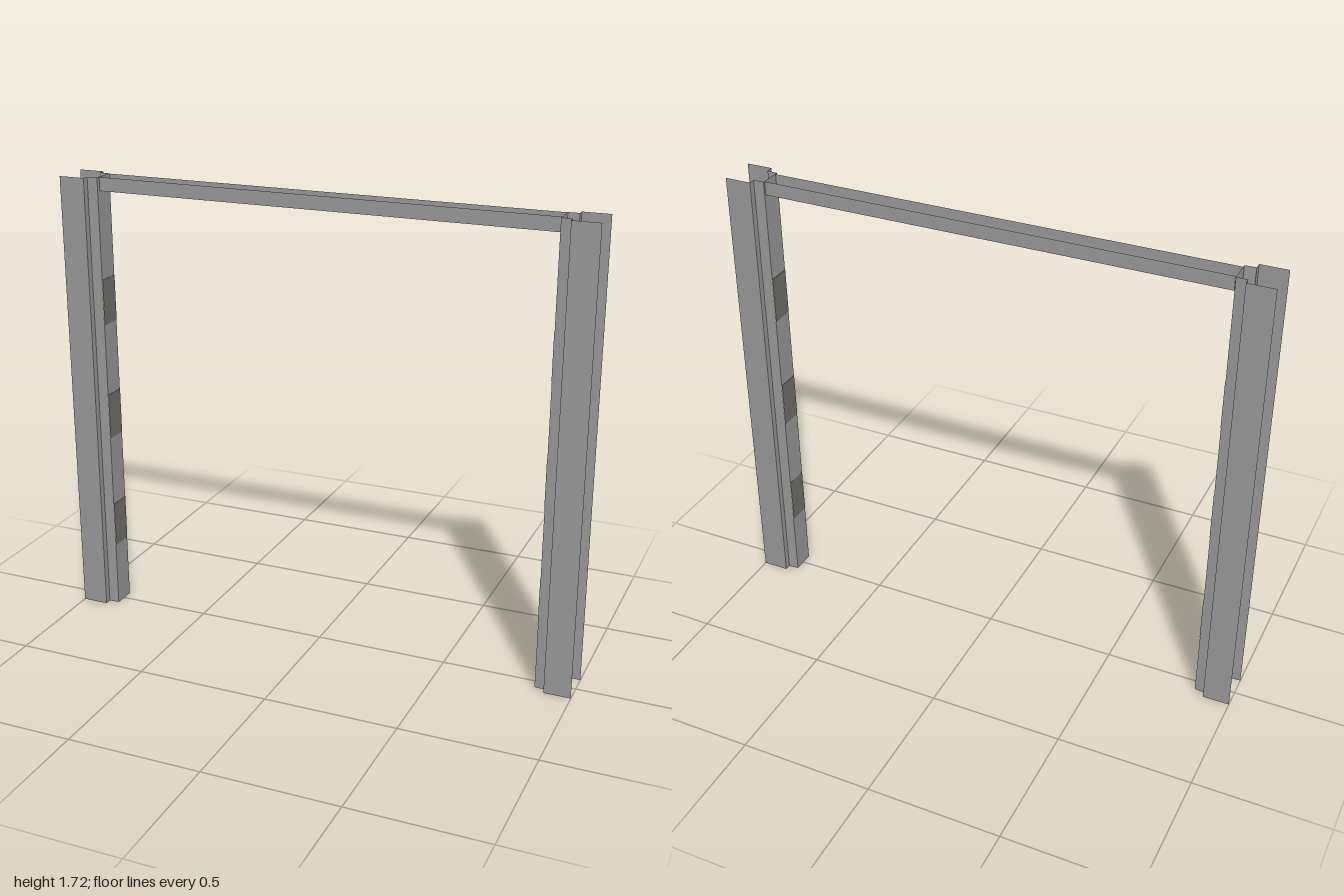
import * as THREE from 'three';

const steel = new THREE.MeshStandardMaterial({ color: 0x999999, side: THREE.DoubleSide });
steel.name = 'grey steel';
const dark = new THREE.MeshStandardMaterial({ color: 0x72706c });
dark.name = 'dark steel';
const black = new THREE.MeshStandardMaterial({ color: 0x494949, side: THREE.DoubleSide });
black.name = 'charcoal steel';

const HEIGHT = 1.716;

// Sweeps an open folded-sheet profile between two ends, one geometry group per fold
function foldedSheet(profile, start, end, place) {
  const pos = [];
  const index = [];
  for (const [a, b] of profile) pos.push(...place(a, b, start), ...place(a, b, end));
  for (let i = 0; i < profile.length - 1; i++) {
    const k = i * 2;
    index.push(k, k + 2, k + 1, k + 1, k + 2, k + 3);
  }
  const indexed = new THREE.BufferGeometry();
  indexed.setAttribute('position', new THREE.Float32BufferAttribute(pos, 3));
  indexed.setIndex(index);
  const geo = indexed.toNonIndexed();
  geo.computeVertexNormals();
  return geo;
}

// Jamb section as (x, z): wall flange, return, ledge, web, and the same again at the back
const jambProfile = [
  [1.0, 0.072], [0.9, 0.072], [0.9, 0.046], [0.86, 0.044],
  [0.86, -0.044], [0.9, -0.046], [0.9, -0.07], [1.0, -0.07],
];

// Header section as (z, y): a channel open at the top
const headerProfile = [
  [-0.04, HEIGHT], [-0.04, 1.665], [0.032, 1.665], [0.032, HEIGHT],
];

function createJamb(side) {
  const jamb = new THREE.Group();
  jamb.name = side > 0 ? 'leftJamb' : 'rightJamb';

  // Mirrored profiles run backwards so the outside faces out
  const profile = jambProfile.map(([x, z]) => [x * side, z]);
  if (side < 0) profile.reverse();
  const sheet = new THREE.Mesh(
    foldedSheet(profile, 0, HEIGHT, (x, z, y) => [x, y, z]), steel);
  sheet.name = 'jambSheet';
  jamb.add(sheet);

  // Three thin anchor plates across the web, showing on both of its faces
  for (const y of [0.34, 0.792, 1.245]) {
    const plate = new THREE.Mesh(new THREE.BoxGeometry(0.003, 0.176, 0.086), dark);
    plate.name = 'anchorPlate';
    plate.position.set(0.86 * side, y, 0);
    jamb.add(plate);
  }
  return jamb;
}

export function createModel() {
  const frame = new THREE.Group();
  frame.name = 'doorFrame';
  frame.add(createJamb(1), createJamb(-1));

  // Header channel between the jambs, its floor darker than its two walls
  const channel = foldedSheet(headerProfile, -0.858, 0.858, (z, y, x) => [x, y, z]);
  channel.addGroup(0, 6, 0);
  channel.addGroup(6, 6, 1);
  channel.addGroup(12, 6, 0);
  const header = new THREE.Mesh(channel, [steel, black]);
  header.name = 'header';
  frame.add(header);
  return frame;
}
